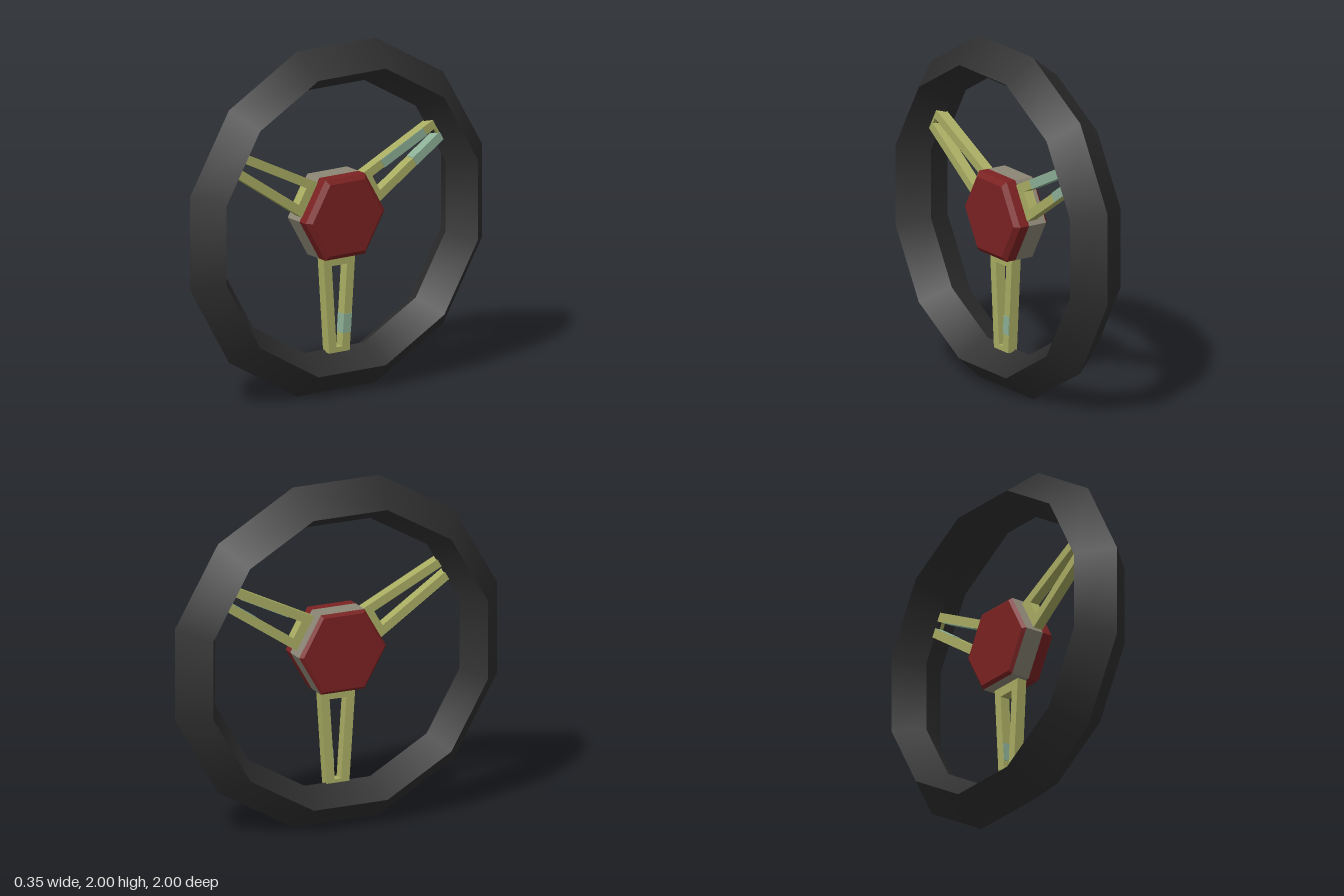
import * as THREE from 'three';
import { mergeGeometries } from 'three/addons/utils/BufferGeometryUtils.js';

const material = (name, color, side = THREE.FrontSide) => {
  const m = new THREE.MeshStandardMaterial({ color, side });
  m.name = name;
  return m;
};

// Turns a [radius, x] profile around the x axis
function turned(profile, sides, start) {
  const points = profile.map(([r, x]) => new THREE.Vector2(r, x));
  return new THREE.LatheGeometry(points, sides, start).rotateZ(-Math.PI / 2);
}

function faceted(geometry) {
  const g = geometry.toNonIndexed();
  g.computeVertexNormals();
  return g;
}

function mesh(name, geometry, mat) {
  const m = new THREE.Mesh(geometry, mat);
  m.name = name;
  return m;
}

// Half widths of a spoke and of its window at a distance from the hub centre
const outerHalf = (v) => THREE.MathUtils.mapLinear(v, 0.235, 0.795, 0.108, 0.07);
const windowHalf = (v) => THREE.MathUtils.mapLinear(v, 0.29, 0.765, 0.052, 0.02);

// Plate in the wheel plane, from [z, distance] corners pointing down
const plate = (shape, x, depth) =>
  new THREE.ExtrudeGeometry(shape, { depth, bevelEnabled: false })
    .rotateY(Math.PI / 2)
    .translate(x, 0, 0);
const outline = (corners) => corners.map(([z, v]) => new THREE.Vector2(-z, -v));

function spokeGeometry() {
  const quad = (half, a, b) =>
    outline([[-half(a), a], [half(a), a], [half(b), b], [-half(b), b]]);
  const shape = new THREE.Shape(quad(outerHalf, 0.2, 0.795));
  shape.holes.push(new THREE.Path(quad(windowHalf, 0.29, 0.765)));
  return plate(shape, -0.01, 0.06);
}

// Thin coloured skin over a stretch of one spoke bar
function patchGeometry(side, a, b) {
  const inner = (v) => side * (windowHalf(v) - 0.003);
  const outer = (v) => side * (outerHalf(v) - 0.001);
  const shape = new THREE.Shape(
    outline([[inner(a), a], [outer(a), a], [outer(b), b], [inner(b), b]]));
  return plate(shape, -0.008, 0.061);
}

export function createModel() {
  const black = material('rim black', 0x2e2e2e);
  const red = material('hub red', 0x7c2222);
  const grey = material('hub grey', 0x8c8676);
  const olive = material('spoke olive', 0xa9ad62);
  const teal = material('spoke teal', 0x8cb096);

  const wheel = new THREE.Group();
  wheel.name = 'steeringWheel';

  // Twelve-sided rim with a diamond section, creased along its four edges
  const section = [[0.853, -0.175], [1, 0.016], [0.86, 0.175], [0.76, 0]];
  const scale = 1 / Math.cos(Math.PI / 12);
  const strips = section.map((p, i) =>
    turned([p, section[(i + 1) % 4]].map(([r, x]) => [r * scale, x]), 12, Math.PI / 12));
  const rim = mesh('rim', mergeGeometries(strips), black);
  rim.position.y = 1;
  wheel.add(rim);

  // Hexagonal hub with a bevelled cap on each end
  const hub = new THREE.Group();
  hub.name = 'hub';
  hub.position.y = 1.02;
  const hubParts = [
    ['hubBody', [[0.27, -0.07], [0.27, 0.045]], grey],
    ['hubCap', [[0.27, 0.045], [0.27, 0.105], [0.238, 0.13], [0, 0.13]], red],
    ['hubBack', [[0, -0.088], [0.25, -0.088], [0.27, -0.07]], red],
  ];
  for (const [name, profile, mat] of hubParts)
    hub.add(mesh(name, faceted(turned(profile, 6, 0)), mat));
  wheel.add(hub);

  // Three windowed spokes with tinted stretches: [bar side, from, to]
  const patches = [
    [[-1, 0.58, 0.69]],
    [[-1, 0.38, 0.7], [1, 0.56, 0.78]],
    [],
  ];
  patches.forEach((list, i) => {
    const spoke = new THREE.Group();
    spoke.name = 'spoke' + (i + 1);
    spoke.position.y = 1.02;
    spoke.rotation.x = (i * Math.PI * 2) / 3;
    spoke.add(mesh('spokeFrame', spokeGeometry(), olive));
    for (const [side, a, b] of list)
      spoke.add(mesh('spokeTint', patchGeometry(side, a, b), teal));
    wheel.add(spoke);
  });

  return wheel;
}
